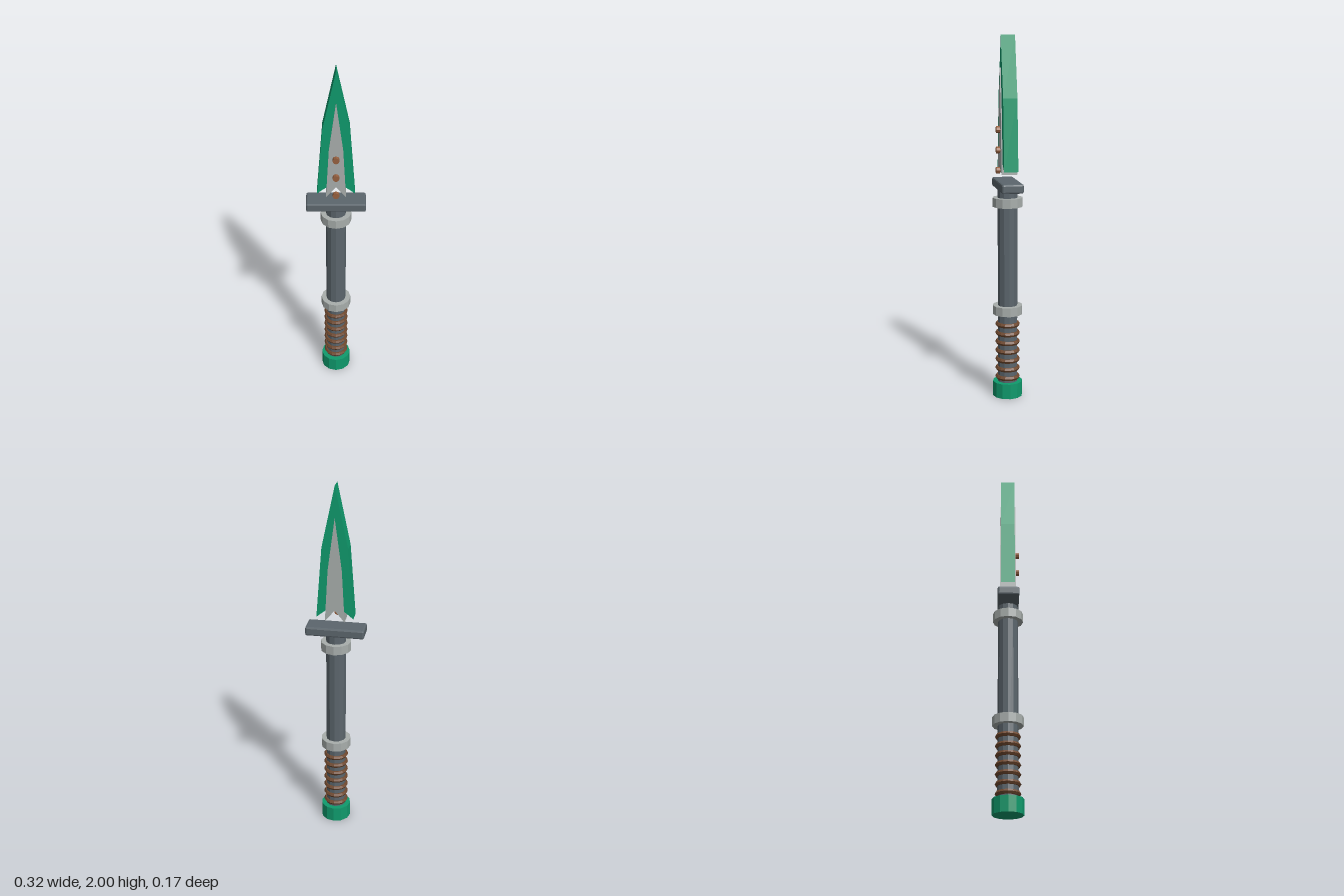
import * as THREE from 'three';
import { RoundedBoxGeometry } from 'three/addons/geometries/RoundedBoxGeometry.js';

const material = (color) => new THREE.MeshStandardMaterial({ color, flatShading: true });

export function createModel() {
  const group = new THREE.Group();
  const green = material(0x0f9a6c);
  const steel = material(0x5c666d);
  const silver = material(0xa8aeac);
  const leather = material(0x70492f);
  const copper = material(0x96603f);

  const add = (name, geometry, mat, x = 0, y = 0, z = 0) => {
    const mesh = new THREE.Mesh(geometry, mat);
    mesh.name = name;
    mesh.position.set(x, y, z);
    group.add(mesh);
    return mesh;
  };

  // Upright cylinder between two heights
  const post = (name, radius, y0, y1, mat) =>
    add(name, new THREE.CylinderGeometry(radius, radius, y1 - y0, 12), mat, 0, (y0 + y1) / 2);

  // Mirrored outline, listed tip to notch on the +x side, extruded along z
  const plate = (name, half, z0, z1, mat) => {
    const mirrored = half.slice(1, -1).reverse().map(([x, y]) => [-x, y]);
    const shape = new THREE.Shape([...half, ...mirrored].map(([x, y]) => new THREE.Vector2(x, y)));
    const geometry = new THREE.ExtrudeGeometry(shape, { depth: z1 - z0, bevelEnabled: false });
    return add(name, geometry, mat, 0, 0, z0);
  };

  // Handle
  post('pommel', 0.083, 0, 0.085, green);
  post('shaft', 0.055, 0.08, 1.18, steel);
  post('lowerCollar', 0.083, 0.475, 0.525, silver);
  post('upperCollar', 0.083, 1.08, 1.13, silver);

  // Grip wraps
  for (let i = 0; i < 7; i++) {
    const wrap = add('gripWrap', new THREE.TorusGeometry(0.055, 0.0135, 6, 16), leather, 0, 0.11 + i * 0.051);
    wrap.rotation.x = Math.PI / 2;
  }

  // Guard
  add('guard', new RoundedBoxGeometry(0.32, 0.05, 0.118, 1, 0.009), steel, 0, 1.197);

  // Blade with its raised core
  plate('blade', [[0, 2], [0.07, 1.67], [0.1, 1.28], [0.05, 1.32], [0, 1.36]], -0.04, 0.037, green);
  plate('bladeCore', [[0, 1.83], [0.037, 1.55], [0.053, 1.26], [0, 1.325]], -0.045, 0.043, silver);

  // Rivets on the front of the core
  for (const y of [1.28, 1.39, 1.5]) {
    const rivet = add('rivet', new THREE.CylinderGeometry(0.018, 0.018, 0.02, 8), copper, 0, y, 0.053);
    rivet.rotation.x = Math.PI / 2;
  }
  return group;
}
